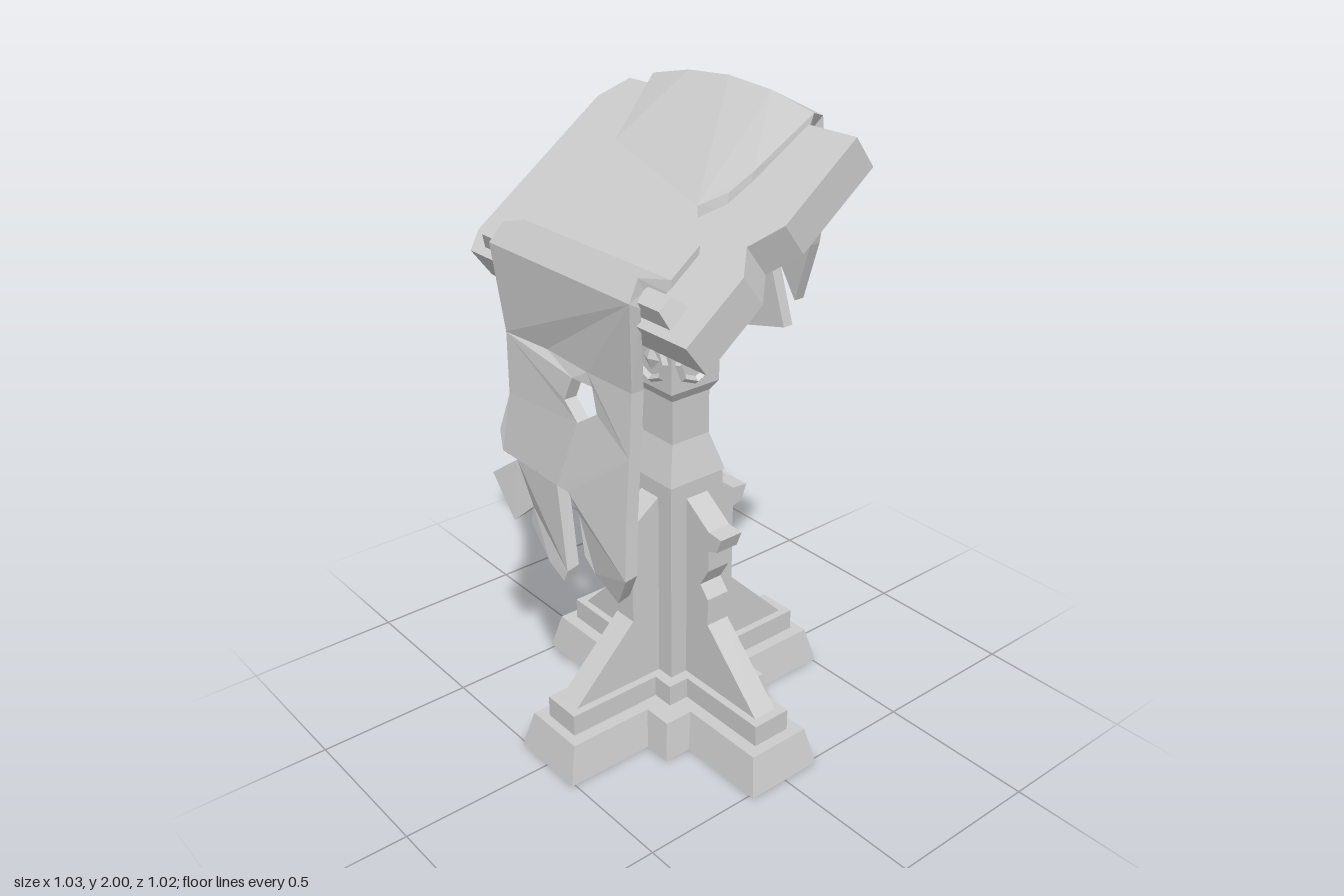
import * as THREE from 'three';

const stone = new THREE.MeshStandardMaterial({ color: 0xcccccc, flatShading: true });
const fabric = new THREE.MeshStandardMaterial({ color: 0xcccccc, flatShading: true, side: THREE.DoubleSide });

function add(parent, name, geometry, material = stone) {
  const mesh = new THREE.Mesh(geometry, material);
  mesh.name = name;
  parent.add(mesh);
  return mesh;
}

// Box from y0 to y1 whose bottom (w0 x d0) and top (w1 x d1) differ
function taper(w0, d0, w1, d1, y0, y1) {
  const g = new THREE.BoxGeometry(1, y1 - y0, 1).translate(0, (y0 + y1) / 2, 0);
  const p = g.attributes.position;
  for (let i = 0; i < p.count; i++) {
    const top = p.getY(i) > (y0 + y1) / 2;
    p.setX(i, p.getX(i) * (top ? w1 : w0));
    p.setZ(i, p.getZ(i) * (top ? d1 : d0));
  }
  g.computeVertexNormals();
  return g;
}

const shapeOf = pts => new THREE.Shape(pts.map(p => new THREE.Vector2(...p)));
const slab = (pts, depth) =>
  new THREE.ExtrudeGeometry(shapeOf(pts), { depth, bevelEnabled: false });

function buildPedestal() {
  const g = new THREE.Group();
  g.name = 'pedestal';
  // Cross-shaped plinth and step
  add(g, 'plinthArmX', taper(1.03, 0.26, 0.97, 0.21, 0, 0.12));
  add(g, 'plinthArmZ', taper(0.26, 1.02, 0.21, 0.96, 0, 0.12));
  add(g, 'plinthCentre', taper(0.44, 0.44, 0.4, 0.4, 0, 0.12));
  add(g, 'stepArmX', taper(0.9, 0.13, 0.9, 0.13, 0.12, 0.19));
  add(g, 'stepArmZ', taper(0.13, 0.9, 0.13, 0.9, 0.12, 0.19));
  add(g, 'stepCentre', taper(0.27, 0.27, 0.27, 0.27, 0.12, 0.19));

  // Column sections: half-width at bottom and top, y range
  const sections = [
    ['lowerColumn', 0.1, 0.1, 0.12, 0.86],
    ['shoulder', 0.105, 0.07, 0.86, 0.98],
    ['upperColumn', 0.07, 0.07, 0.98, 1.57],
    ['knobBase', 0.065, 0.09, 1.11, 1.15],
    ['knob', 0.09, 0.09, 1.15, 1.33],
    ['knobTop', 0.09, 0.07, 1.33, 1.37],
  ];
  for (const [name, a, b, y0, y1] of sections) add(g, name, taper(2 * a, 2 * a, 2 * b, 2 * b, y0, y1));

  // Four buttresses with caps, and a framed diamond on each knob face
  for (let i = 0; i < 4; i++) {
    const side = new THREE.Group();
    side.name = 'buttressSide';
    side.rotation.y = i * Math.PI / 2;
    const chip = i % 2 === 0 ? [[0.2, 0.5], [0.165, 0.54], [0.2, 0.6]] : [];
    const profile = [[0, 0.19], [0.42, 0.19], [0.2, 0.41], ...chip, [0.2, 0.67], [0.235, 0.68],
      [0.255, 0.73], [0.2, 0.735], [0.1, 0.805], [0, 0.805]];
    add(side, 'buttress', slab(profile, 0.08).translate(0, 0, -0.04));
    const frame = add(side, 'knobFrame', new THREE.TorusGeometry(0.065, 0.014, 4, 8));
    frame.position.set(0.088, 1.24, 0);
    frame.rotation.y = Math.PI / 2;
    const gem = add(side, 'knobDiamond', new THREE.OctahedronGeometry(0.05));
    gem.position.set(0.085, 1.24, 0);
    gem.scale.x = 0.4;
    g.add(side);
  }

  // Bracket carrying the desk; its outline is (-z, y)
  const bracket = [[-0.1, 1.57], [-0.04, 1.47], [0.04, 1.47], [0.07, 1.57], [0.11, 1.64],
    [0.19, 1.82], [0.18, 1.85], [-0.09, 1.63]];
  add(g, 'bracket', slab(bracket, 0.12).translate(0, 0, -0.06).rotateY(Math.PI / 2));
  return g;
}

function buildDesk() {
  const g = new THREE.Group();
  g.name = 'desk';
  g.position.set(0, 1.715, 0.105);
  g.rotation.x = -0.92;
  // Slanted board with chipped corners and edge
  const board = [[-0.46, -0.35], [0.5, -0.35], [0.5, -0.12], [0.44, -0.04], [0.5, 0.05], [0.5, 0.35],
    [-0.42, 0.35], [-0.485, 0.26], [-0.5, -0.28]];
  add(g, 'board', slab(board, 0.11).translate(0, 0, -0.11));
  // Ledge along the low edge
  const ledge = taper(0.83, 0.075, 0.79, 0.05, 0, 0.05).rotateX(Math.PI / 2);
  add(g, 'ledge', ledge).position.y = -0.285;
  return g;
}

// Cloth cross-section from the front hem over the desk to the back hem: [z, y]
const outer = [[0.435, 0.67], [0.42, 0.95], [0.385, 1.31], [0.41, 1.57], [0.37, 1.625], [0.28, 1.605],
  [-0.19, 2.0], [-0.265, 1.93], [-0.285, 1.7], [-0.305, 1.17]];
const inner = [[0.395, 0.68], [0.38, 0.95], [0.345, 1.31], [0.375, 1.55], [0.35, 1.585], [0.28, 1.565],
  [-0.17, 1.95], [-0.225, 1.9], [-0.25, 1.7], [-0.27, 1.17]];

// Places a flat cloth point: x across, v along the section, t from inner to outer face
function drape(x, v, t) {
  const i = Math.min(Math.floor(v), outer.length - 2), f = v - i;
  const at = (path, k) => THREE.MathUtils.lerp(path[i][k], path[i + 1][k], f);
  let z = THREE.MathUtils.lerp(at(inner, 0), at(outer, 0), t);
  let y = THREE.MathUtils.lerp(at(inner, 1), at(outer, 1), t);
  const hang = Math.max(0, 3 - v, v - 7.2) / 3;
  z += 0.03 * hang * Math.sin(18 * x + 1);
  y -= 0.42 * x * x * Math.max(0, 1 - Math.abs(v - 6));
  return [x, y, z];
}

function buildCloth() {
  const g = new THREE.Group();
  g.name = 'cloth';
  const xs = [-0.1, 0.1];
  // Plain strip between section points v and v + 1
  const strip = (v, l0, r0, l1, r1) => [[l0, v], ...xs.map(x => [x, v]), [r0, v],
    [r1, v + 1], ...xs.map(x => [-x, v + 1]), [l1, v + 1]];
  const pieces = [
    ['frontTornLeft', [[-0.27, 1], [-0.22, 0.94], [-0.31, 0.7], [-0.23, 0.22], [-0.165, 0.45],
      [-0.175, 0.26], [-0.03, 0.06], [0.06, 0], [0.07, 0.12], [0.01, 1]]],
    ['frontTornRight', [[0.06, 1], [0.1, 0.8], [0.12, 0.35], [0.15, 0.18], [0.25, 0], [0.32, 0.4], [0.305, 1]]],
    ['frontMiddle', [[-0.27, 1], [0.01, 1], [0.06, 1], [0.305, 1], [0.295, 1.5], [0.285, 2], [0.1, 2],
      [-0.1, 2], [-0.28, 2], [-0.255, 1.5], [-0.285, 1.17]]],
    ['frontUpper', strip(2, -0.28, 0.285, -0.315, 0.315)],
    ['frontFold', strip(3, -0.315, 0.315, -0.3, 0.3)],
    ['ledgeFold', strip(4, -0.3, 0.3, -0.33, 0.32)],
    ['deskCover', [[-0.33, 5], [-0.1, 5], [0.1, 5], [0.32, 5], [0.32, 5.2], [0.22, 5.36], [0.28, 5.48],
      [0.3, 5.62], [0.33, 6], [0.17, 6], [0, 6], [-0.17, 6], [-0.33, 6], [-0.24, 5.55]]],
    ['backFold', [[-0.33, 6], [-0.17, 6], [0, 6], [0.17, 6], [0.33, 6], [0.29, 7], [0.1, 7], [-0.1, 7], [-0.29, 7]]],
    ['backUpper', strip(7, -0.29, 0.29, -0.31, 0.3)],
    ['backTorn', [[-0.31, 8], [-0.1, 8], [0.1, 8], [0.3, 8], [0.27, 8.25], [0.2, 8.6], [0.08, 8.15],
      [0.16, 8.78], [0, 8.84], [-0.2, 9], [-0.3, 8.8], [-0.33, 8.65]]],
  ];
  for (const [name, pts] of pieces) {
    const shape = shapeOf(pts);
    if (name === 'frontMiddle') {
      // Five-sided hole
      const hole = [];
      for (let i = 0; i < 5; i++) {
        const a = i * Math.PI * 0.4 + 0.9;
        hole.push(new THREE.Vector2(0.08 + 0.065 * Math.cos(a), 1.76 + 0.18 * Math.sin(a)));
      }
      shape.holes.push(new THREE.Path(hole));
    }
    const geo = new THREE.ExtrudeGeometry(shape, { depth: 1, bevelEnabled: false });
    const p = geo.attributes.position;
    for (let i = 0; i < p.count; i++) p.setXYZ(i, ...drape(p.getX(i), p.getY(i), p.getZ(i)));
    geo.computeVertexNormals();
    add(g, name, geo, fabric);
  }
  return g;
}

export function createModel() {
  const model = new THREE.Group();
  model.name = 'drapedLectern';
  model.add(buildPedestal(), buildDesk(), buildCloth());
  return model;
}
